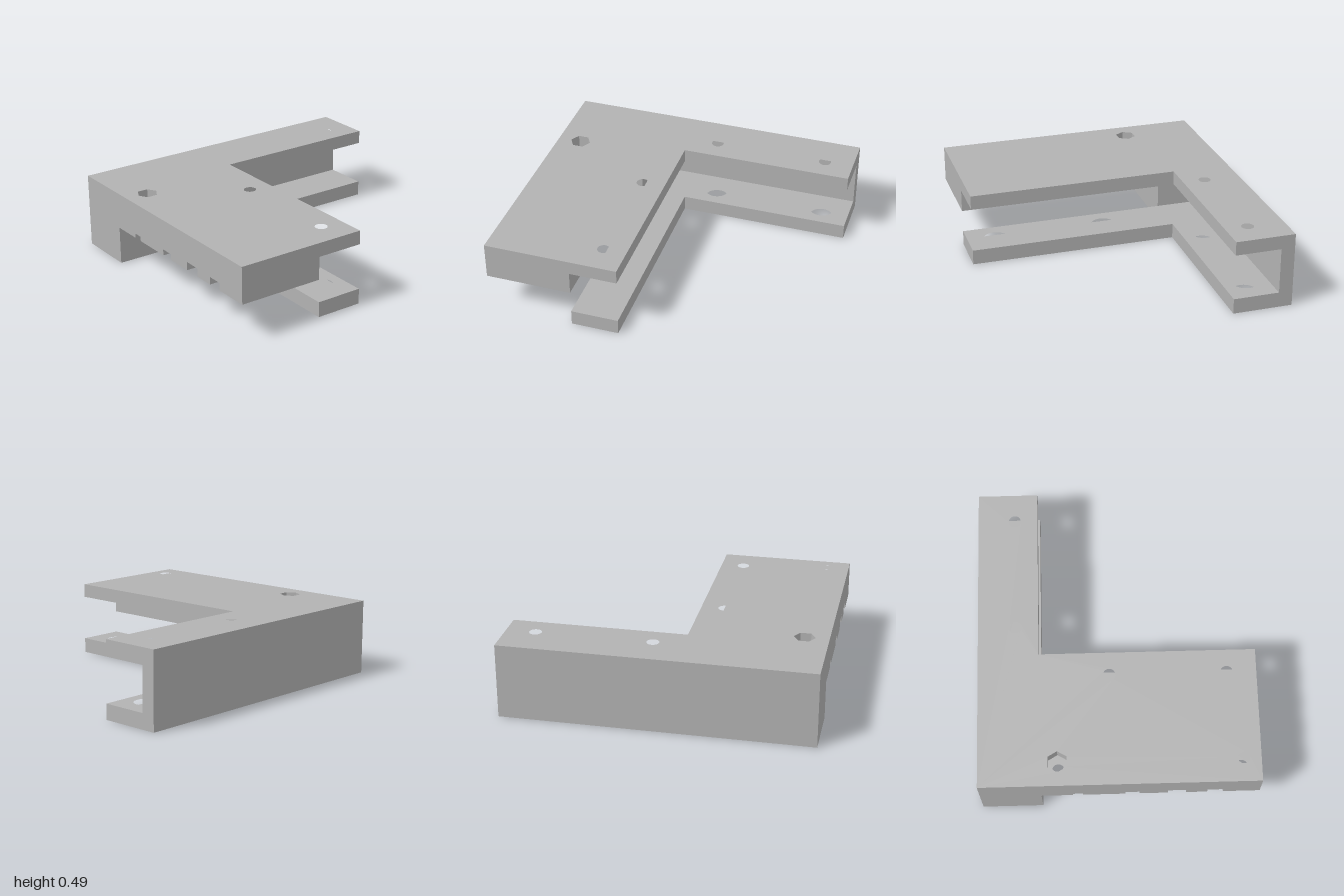
import * as THREE from 'three';
import { toCreasedNormals } from 'three/addons/utils/BufferGeometryUtils.js';

// Plan outlines are given as [x, z] points and extruded upwards in y.
const L = -0.89, R = 0.89, ARM = -0.5, WALL = -0.8;
const STRIP_BACK = 0.13, BAR_BACK = 0.44, GROOVE_END = 0.55;

const armHoles = [[-0.65, -0.81], [-0.65, -0.06]];
const stripHoles = [[-0.05, 0.28], [0.7, 0.28]];
const nutHole = [-0.39, 0.845], screwHole = [0.78, 0.845];

// Cable grooves under the front bar: [x start, x end, roof height]
const grooves = [
  [-0.3, -0.235, 0.28], [0.035, 0.125, 0.29], [0.305, 0.42, 0.305], [0.555, 0.655, 0.3],
];

const round = (r) => ([x, z]) => new THREE.Path().absarc(x, -z, r, 0, Math.PI * 2, true);

function hexagon([x, z], r) {
  const points = [];
  for (let i = 0; i < 6; i++) {
    const a = Math.PI / 2 + (i * Math.PI) / 3;
    points.push(new THREE.Vector2(x + r * Math.cos(a), -z + r * Math.sin(a)));
  }
  return new THREE.Path(points);
}

export function createModel() {
  const model = new THREE.Group();
  model.name = 'cornerBracket';
  const grey = new THREE.MeshStandardMaterial({ color: 0xb2b2b2 });
  grey.name = 'grey';

  function slab(name, outline, y0, y1, holes = []) {
    const shape = new THREE.Shape(outline.map(([x, z]) => new THREE.Vector2(x, -z)));
    shape.holes.push(...holes);
    let geometry = new THREE.ExtrudeGeometry(shape, {
      depth: y1 - y0, bevelEnabled: false, curveSegments: 32,
    });
    geometry.rotateX(-Math.PI / 2).translate(0, y0, 0);
    geometry = toCreasedNormals(geometry, 0.6);
    const mesh = new THREE.Mesh(geometry, grey);
    mesh.name = name;
    model.add(mesh);
  }

  // Lower flange: arm holes go through, strip holes are blind pockets
  const flange = [
    [L, -1], [ARM, -1], [ARM, STRIP_BACK], [R, STRIP_BACK],
    [R, BAR_BACK], [ARM, BAR_BACK], [ARM, 1], [L, 1],
  ];
  slab('lowerFlangeBase', flange, 0, 0.04, armHoles.map(round(0.08)));
  slab('lowerFlangeTop', flange, 0.04, 0.1, [...armHoles, ...stripHoles].map(round(0.08)));

  // Side wall and solid corner post
  const wall = [[L, -1], [WALL, -1], [WALL, BAR_BACK]];
  slab('sideWall', [...wall, [ARM, BAR_BACK], [ARM, 1], [L, 1]], 0.1, 0.25);

  // Front bar, in layers that close each groove at its own height
  const levels = [0.25, 0.28, 0.29, 0.3, 0.305, 0.4];
  for (let i = 0; i < levels.length - 1; i++) {
    const outline = [...wall, [R, BAR_BACK], [R, 1]];
    for (const [x0, x1, roof] of [...grooves].reverse()) {
      if (roof > levels[i] + 0.001) {
        outline.push([x1, 1], [x1, GROOVE_END], [x0, GROOVE_END], [x0, 1]);
      }
    }
    outline.push([L, 1]);
    slab('frontBar', outline, levels[i], levels[i + 1], [nutHole, screwHole].map(round(0.04)));
  }

  // Top plate: wide recesses below, small holes above, hexagonal nut pocket
  const plate = [[L, -1], [ARM, -1], [ARM, STRIP_BACK], [R, STRIP_BACK], [R, 1], [L, 1]];
  const mounts = [...armHoles, ...stripHoles];
  const fixings = () => [hexagon(nutHole, 0.068), round(0.04)(screwHole)];
  slab('topPlateRecessed', plate, 0.4, 0.46, [...mounts.map(round(0.128)), ...fixings()]);
  slab('topPlate', plate, 0.46, 0.49, [...mounts.map(round(0.04)), ...fixings()]);

  return model;
}
